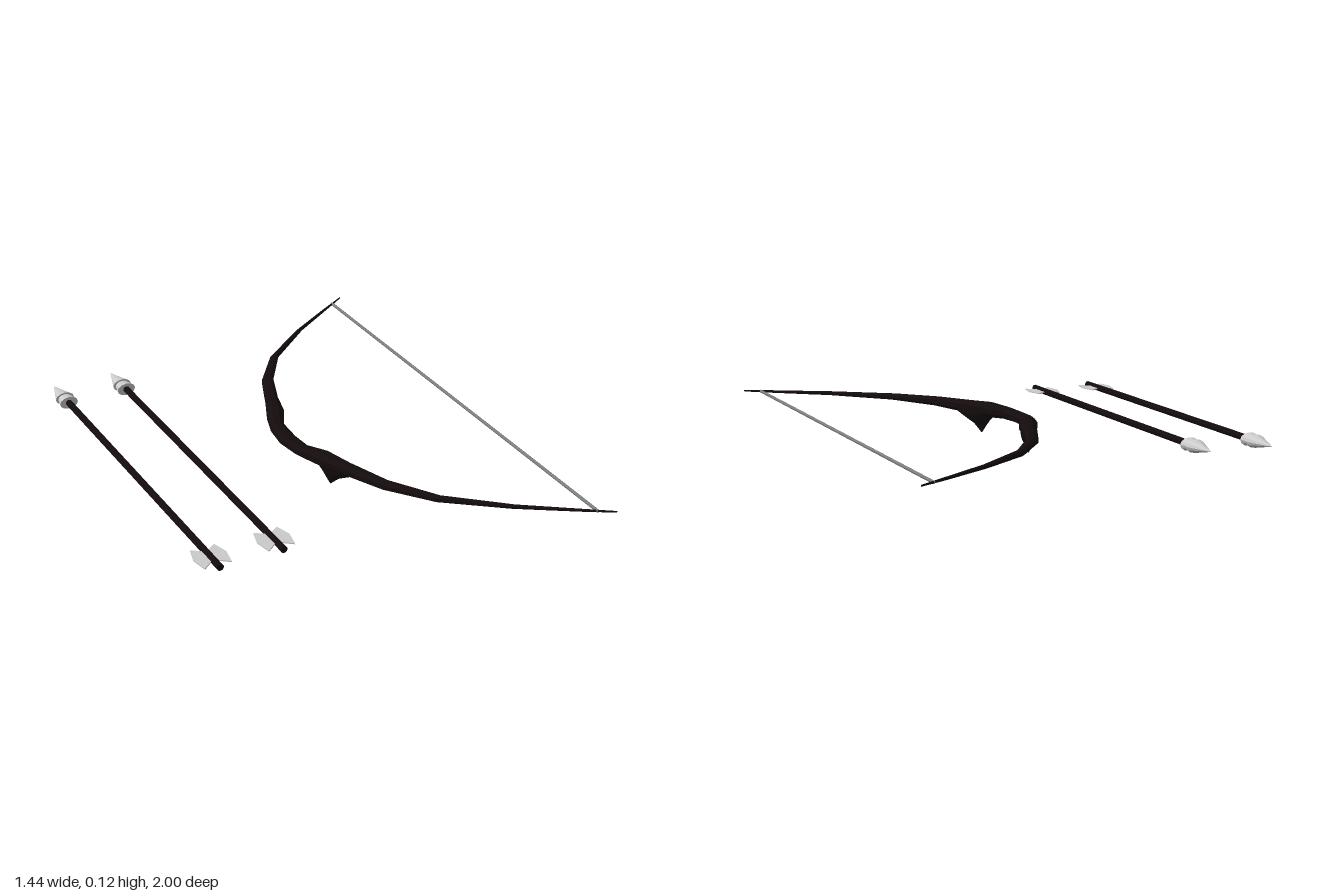
import * as THREE from 'three';

const dark = new THREE.MeshStandardMaterial({ color: 0x140c0c, flatShading: true });
const grey = new THREE.MeshStandardMaterial({ color: 0xcccccc, flatShading: true });
const thinGrey = new THREE.MeshStandardMaterial({ color: 0xcccccc, flatShading: true, side: THREE.DoubleSide });
const cord = new THREE.MeshStandardMaterial({ color: 0x808080 });

function add(parent, name, geometry, material, x = 0, y = 0, z = 0) {
  const mesh = new THREE.Mesh(geometry, material);
  mesh.name = name;
  mesh.position.set(x, y, z);
  parent.add(mesh);
  return mesh;
}

// Skin over elliptical rings [z, centre x, centre y, half width, half height]
function loft(rings, sides) {
  const pos = [], idx = [];
  rings.forEach(([z, cx, cy, hw, hh], i) => {
    for (let j = 0; j < sides; j++) {
      const a = ((j + 0.5) / sides) * Math.PI * 2;
      const k = 1 / Math.cos(Math.PI / sides);
      pos.push(cx + Math.cos(a) * hw * k, cy + Math.sin(a) * hh * k, z);
      if (i === rings.length - 1) continue;
      const p = i * sides + j, q = i * sides + ((j + 1) % sides);
      idx.push(p, q, q + sides, p, q + sides, p + sides);
    }
  });
  const g = new THREE.BufferGeometry();
  g.setAttribute('position', new THREE.Float32BufferAttribute(pos, 3));
  g.setIndex(idx);
  g.computeVertexNormals();
  return g;
}

function createBow() {
  const bow = new THREE.Group();
  bow.name = 'bow';

  // One half of the limb: z, outer x, inner x, bottom y, top y
  const half = [
    [0, -0.093, -0.03, 0.073, 0.11],
    [0.1, -0.08, -0.025, 0.071, 0.114],
    [0.19, -0.05, 0.022, 0.067, 0.122],
    [0.3, 0, 0.053, 0.07, 0.116],
    [0.46, 0.066, 0.115, 0.075, 0.109],
    [0.63, 0.19, 0.226, 0.079, 0.103],
    [0.8, 0.398, 0.424, 0.084, 0.099],
    [0.93, 0.596, 0.614, 0.086, 0.096],
    [1, 0.711, 0.715, 0.088, 0.094],
  ];
  const ring = (s) => ([z, x0, x1, y0, y1]) =>
    [z * s, (x0 + x1) / 2, (y0 + y1) / 2, (x1 - x0) / 2, (y1 - y0) / 2];
  const rings = [...half.slice(1).reverse().map(ring(-1)), ...half.map(ring(1))];
  add(bow, 'limbs', loft(rings, 8), dark);

  // Curved spikes below the grip, sheared to follow the limb
  for (const s of [1, -1]) {
    const g = loft([
      [-0.1, 0.008, 0.24 * s, 0.022, 0.1],
      [-0.072, 0.005, 0.245 * s, 0.026, 0.08],
      [-0.05, 0.003, 0.236 * s, 0.02, 0.048],
      [-0.033, 0, 0.228 * s, 0.012, 0.026],
      [-0.002, 0, 0.222 * s, 0.001, 0.002],
    ], 8);
    g.rotateX(Math.PI / 2);
    const p = g.attributes.position;
    for (let i = 0; i < p.count; i++) p.setX(i, p.getX(i) + (p.getZ(i) * s - 0.225) * 0.4);
    g.computeVertexNormals();
    add(bow, s > 0 ? 'frontSpike' : 'backSpike', g, dark);
  }

  const string = new THREE.CylinderGeometry(0.006, 0.006, 1.93, 8).rotateX(Math.PI / 2);
  add(bow, 'bowstring', string, cord, 0.655, 0.091, 0);
  return bow;
}

function createArrow(x) {
  const arrow = new THREE.Group();
  arrow.name = 'arrow';
  arrow.position.set(x, 0.081, 0);

  add(arrow, 'shaft', new THREE.CylinderGeometry(0.013, 0.013, 1.35, 10).rotateX(Math.PI / 2), dark, 0, 0, -0.015);

  // Two stacked flattened cones, pointing to -z
  const cone = (top, bottom, length) =>
    new THREE.CylinderGeometry(top, bottom, length, 12).rotateX(-Math.PI / 2).scale(1, 0.66, 1);
  add(arrow, 'headCollar', cone(0.018, 0.037, 0.08), grey, 0, 0, -0.71);
  add(arrow, 'headPoint', cone(0.001, 0.037, 0.113), grey, 0, 0, -0.7685);

  // Thin flat vanes on both sides of the shaft
  for (const s of [1, -1]) {
    const outline = [[0, 0.55], [0.013, 0.54], [0.045, 0.517], [0.062, 0.58], [0.05, 0.645], [0.013, 0.615], [0, 0.61]];
    const shape = new THREE.Shape(outline.map(([u, v]) => new THREE.Vector2(u * s, v)));
    const vane = new THREE.ExtrudeGeometry(shape, { depth: 0.004, bevelEnabled: false });
    vane.rotateX(Math.PI / 2).translate(0, 0.002, 0);
    add(arrow, s > 0 ? 'leftVane' : 'rightVane', vane, thinGrey);
  }
  return arrow;
}

export function createModel() {
  const model = new THREE.Group();
  model.name = 'bowAndArrows';
  model.add(createBow(), createArrow(-0.66), createArrow(-0.42));
  return model;
}
